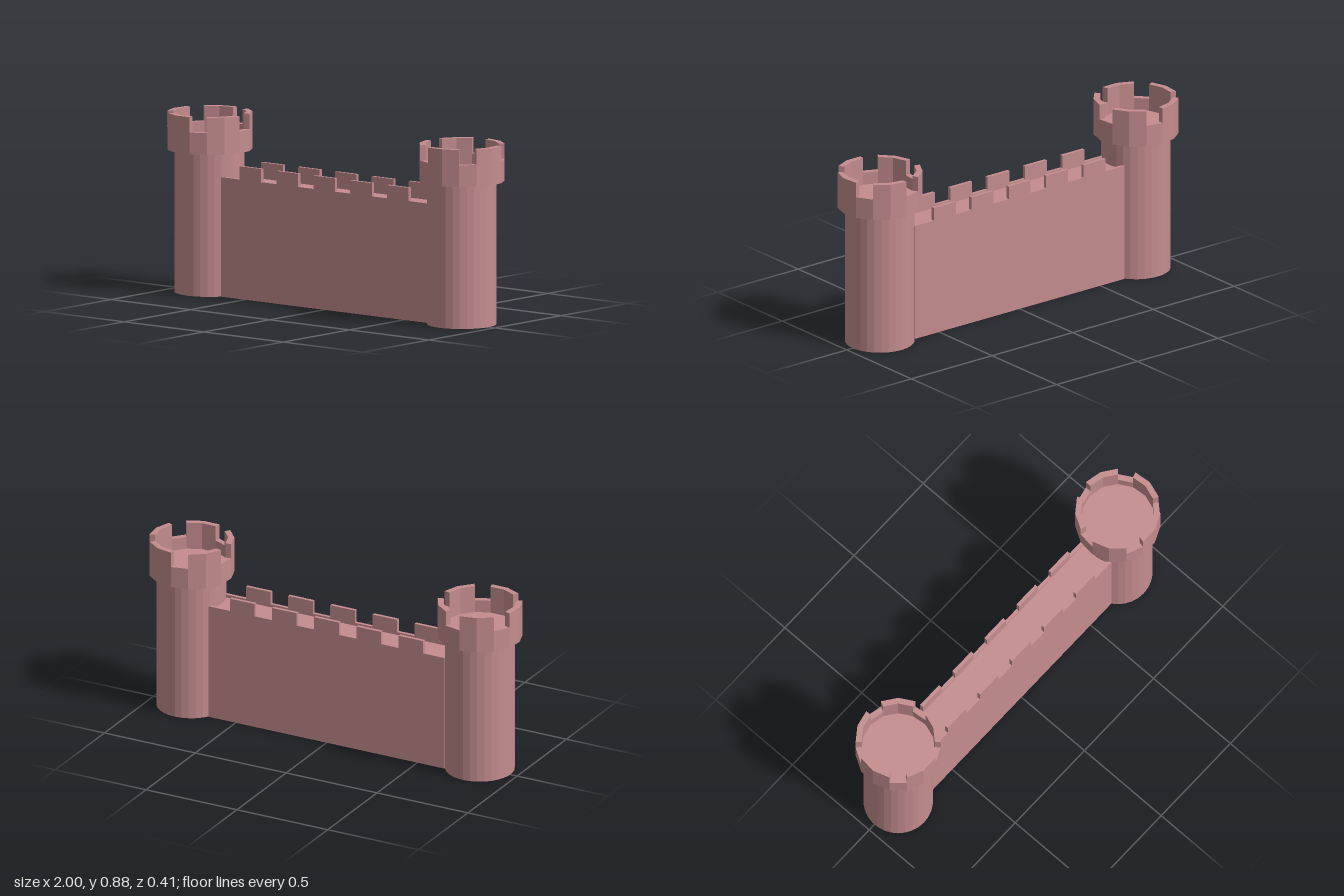
import * as THREE from 'three';

const SIDES = 15;               // crown sides: five merlons of two sides, five one-side gaps
const STEP = (Math.PI * 2) / SIDES;
const CROWN_R = 0.2075, INNER_R = 0.178, SHAFT_R = 0.169;
const SILL = 0.807, TOP = 0.882;

const stone = new THREE.MeshStandardMaterial({
  color: 0xc48c8e, flatShading: true, side: THREE.DoubleSide,
});
stone.name = 'rose stone';

function part(name, geometry, parent) {
  const mesh = new THREE.Mesh(geometry, stone);
  mesh.name = name;
  parent.add(mesh);
  return mesh;
}

// Curved block standing on the crown rim, between two side indices
function merlonGeometry(from, to, side) {
  const points = [];
  const at = (i, r) => {
    const t = Math.PI / 2 - side * STEP * i;
    points.push(new THREE.Vector2(Math.cos(t) * r, Math.sin(t) * r));
  };
  for (let i = from; i <= to; i++) at(i, CROWN_R);
  for (let i = to; i >= from; i--) at(i, INNER_R);
  const g = new THREE.ExtrudeGeometry(new THREE.Shape(points), { depth: TOP - SILL, bevelEnabled: false });
  return g.rotateX(-Math.PI / 2).translate(0, SILL, 0);
}

function buildTower(side) {
  const tower = new THREE.Group();
  tower.name = side > 0 ? 'leftTower' : 'rightTower';

  // Hollow shaft, open underneath
  const shaft = new THREE.CylinderGeometry(SHAFT_R, SHAFT_R, 0.7, 30, 1, true);
  part('towerShaft', shaft.translate(0, 0.35, 0), tower);

  // Overhanging crown with a sunken floor
  const profile = [
    [SHAFT_R - 0.01, 0.7], [CROWN_R, 0.7], [CROWN_R, SILL],
    [INNER_R, SILL], [INNER_R, 0.745], [0, 0.745],
  ].map(([r, y]) => new THREE.Vector2(r, y));
  part('towerCrown', new THREE.LatheGeometry(profile, SIDES, Math.PI), tower);

  for (let k = 0; k < 5; k++) {
    part('towerMerlon', merlonGeometry(k * 3, k * 3 + 2, side), tower);
  }
  tower.position.set(side * 0.7936, 0, 0.0025);
  return tower;
}

// Notched strip along one edge of the walkway
function parapetGeometry() {
  const half = 0.65, base = 0.57, sill = 0.585, top = 0.65;
  const shape = new THREE.Shape();
  shape.moveTo(-half, base);
  shape.lineTo(half, base);
  shape.lineTo(half, sill);
  for (let k = 2; k >= -2; k--) {
    const x = k * 0.232;
    shape.lineTo(x + 0.068, sill);
    shape.lineTo(x + 0.068, top);
    shape.lineTo(x - 0.068, top);
    shape.lineTo(x - 0.068, sill);
  }
  shape.lineTo(-half, sill);
  return new THREE.ExtrudeGeometry(shape, { depth: 0.017, bevelEnabled: false });
}

export function createModel() {
  const model = new THREE.Group();
  model.name = 'castleWall';

  // Curtain wall between the towers
  const wall = new THREE.BoxGeometry(1.3, 0.57, 0.18);
  part('curtainWall', wall.translate(0, 0.285, 0), model);
  part('frontParapet', parapetGeometry(), model).position.z = 0.073;
  part('backParapet', parapetGeometry(), model).position.z = -0.09;

  for (const side of [-1, 1]) model.add(buildTower(side));
  return model;
}
